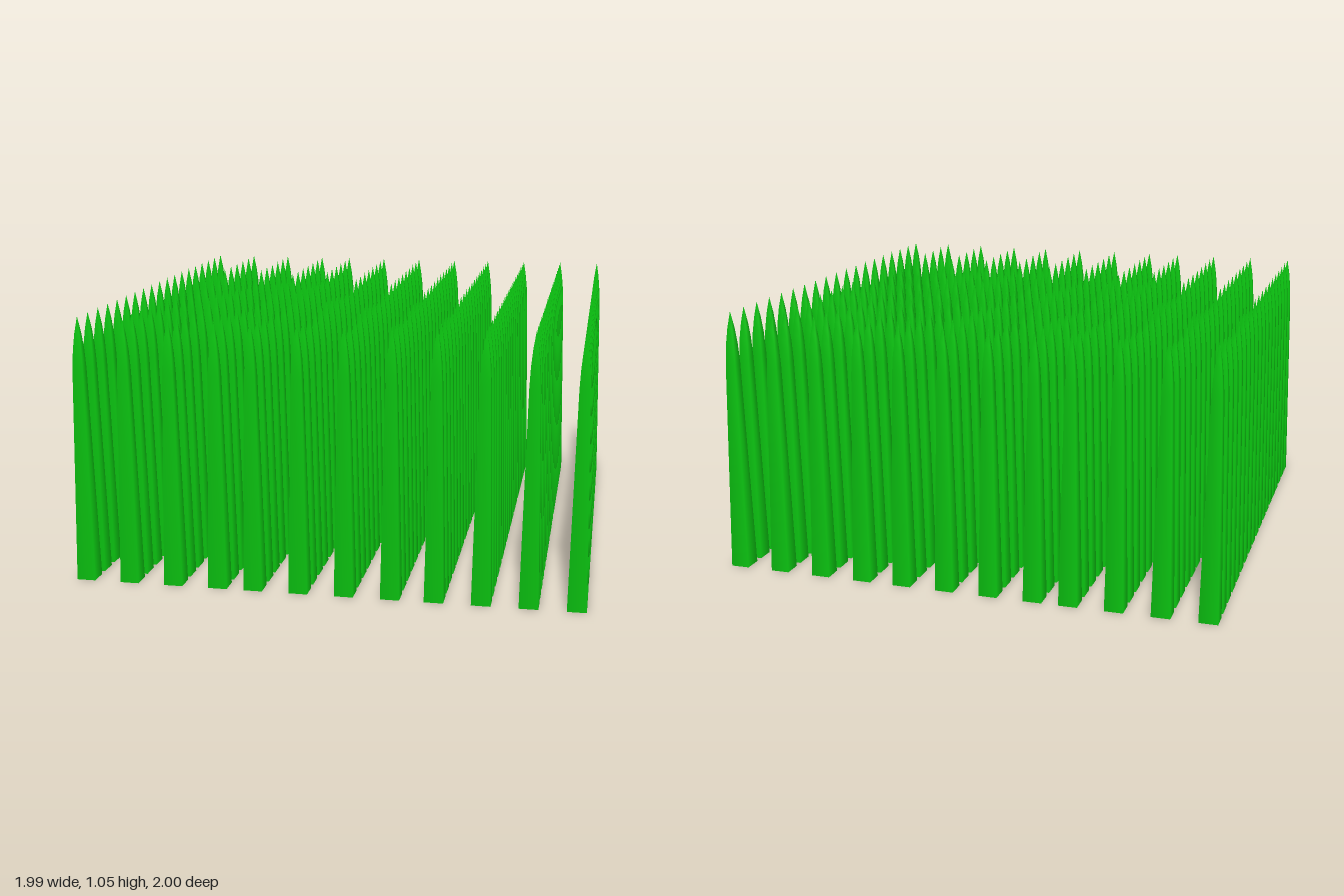
import * as THREE from 'three';

export function createModel() {
  const model = new THREE.Group();
  model.name = 'spikeField';

  const material = new THREE.MeshStandardMaterial({ color: 0x0ccc12 });

  // One square spike: closed base, long taper, bullet-shaped point.
  // Each pair is half width, height.
  const profile = [
    [0, 0], [0.037, 0], [0.0205, 0.84], [0.0165, 0.92], [0.01, 0.985], [0, 1.05],
  ].map(([half, y]) => new THREE.Vector2(half * Math.SQRT2, y));
  const spikeGeometry = new THREE.LatheGeometry(profile, 4, Math.PI / 4);

  // Columns come in three blocks of four, set slightly closer together
  const columns = [];
  for (const start of [-0.963, -0.285, 0.42]) {
    for (let i = 0; i < 4; i++) columns.push(start + i * 0.179);
  }

  // Rows evenly spaced from back to front
  const rowCount = 19;
  const reach = 0.963;
  for (let r = 0; r < rowCount; r++) {
    const row = new THREE.Group();
    row.name = `spikeRow${r + 1}`;
    row.position.z = -reach + (2 * reach * r) / (rowCount - 1);
    columns.forEach((x, c) => {
      const spike = new THREE.Mesh(spikeGeometry, material);
      spike.name = `spike${c + 1}`;
      spike.position.x = x;
      row.add(spike);
    });
    model.add(row);
  }

  return model;
}
